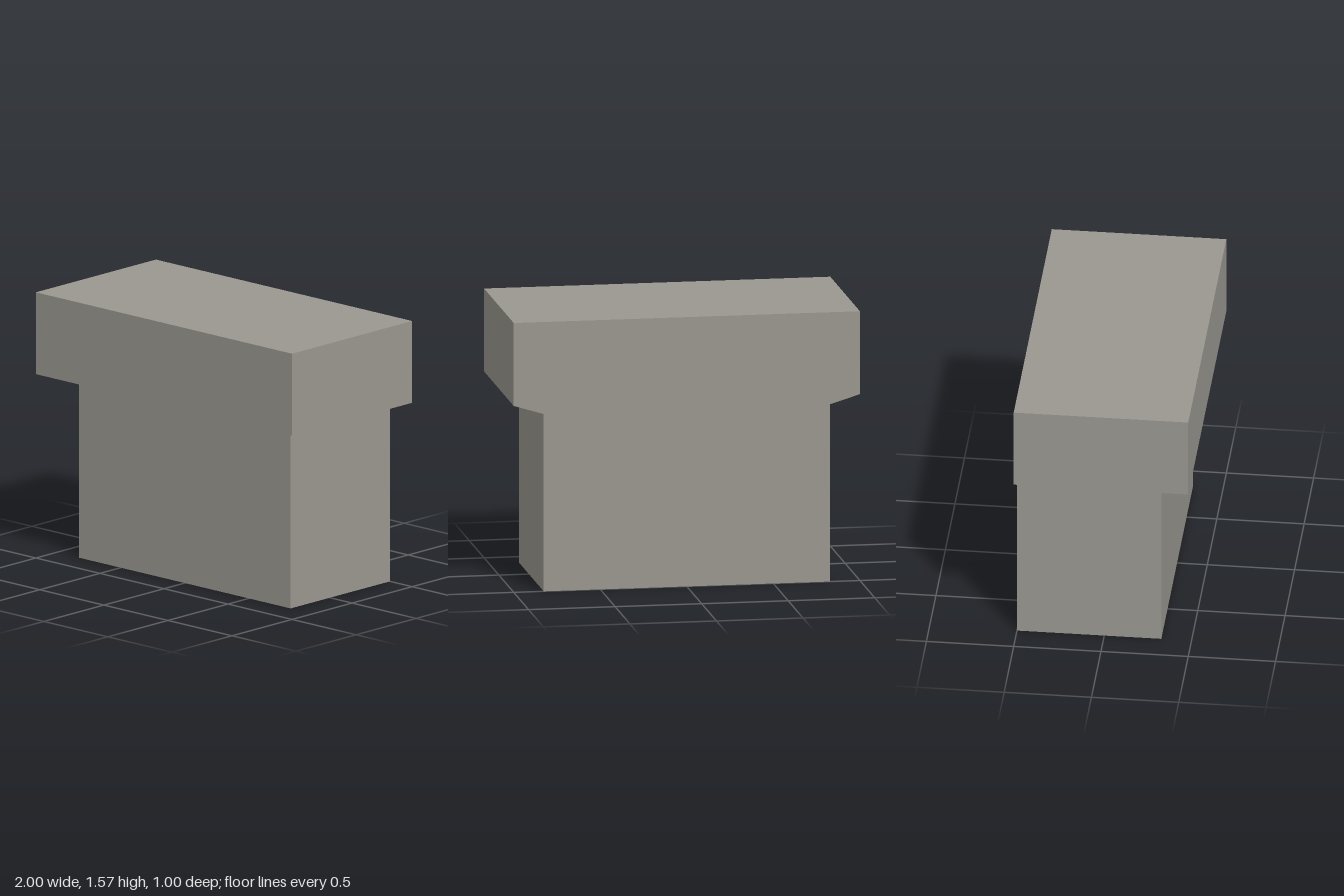
import * as THREE from 'three';

const BACK = -0.5; // every level is flush at the back

// Rectangular level, listed counter-clockwise seen from above
const level = (halfWidth, y, front) => [
  [-halfWidth, y, front], [halfWidth, y, front],
  [halfWidth, y, BACK], [-halfWidth, y, BACK],
];

// Four flat walls between two levels, with optional bottom and top faces
function block(name, lower, upper, material, { bottom = false, top = false } = {}) {
  const positions = [];
  const quad = (a, b, c, d) => positions.push(...[a, b, c, a, c, d].flat());
  for (let i = 0; i < 4; i++) {
    const j = (i + 1) % 4;
    quad(lower[i], lower[j], upper[j], upper[i]);
  }
  if (bottom) quad(...[...lower].reverse());
  if (top) quad(...upper);
  const geometry = new THREE.BufferGeometry();
  geometry.setAttribute('position', new THREE.Float32BufferAttribute(positions, 3));
  geometry.computeVertexNormals();
  const mesh = new THREE.Mesh(geometry, material);
  mesh.name = name;
  return mesh;
}

export function createModel() {
  const group = new THREE.Group();
  group.name = 'steppedBlock';
  const stone = new THREE.MeshStandardMaterial({ color: 0x99978f });
  stone.name = 'warm grey stone';

  const foot = level(0.827, 0, 0.327);
  const neck = level(0.827, 1.03, 0.327);
  const ledge = level(1, 1.083, 0.5);
  const crown = level(1, 1.565, 0.5);

  group.add(
    block('pier', foot, neck, stone, { bottom: true }),
    block('slopedCorbel', neck, ledge, stone), // flares out at front and sides
    block('cap', ledge, crown, stone, { top: true }),
  );
  return group;
}
